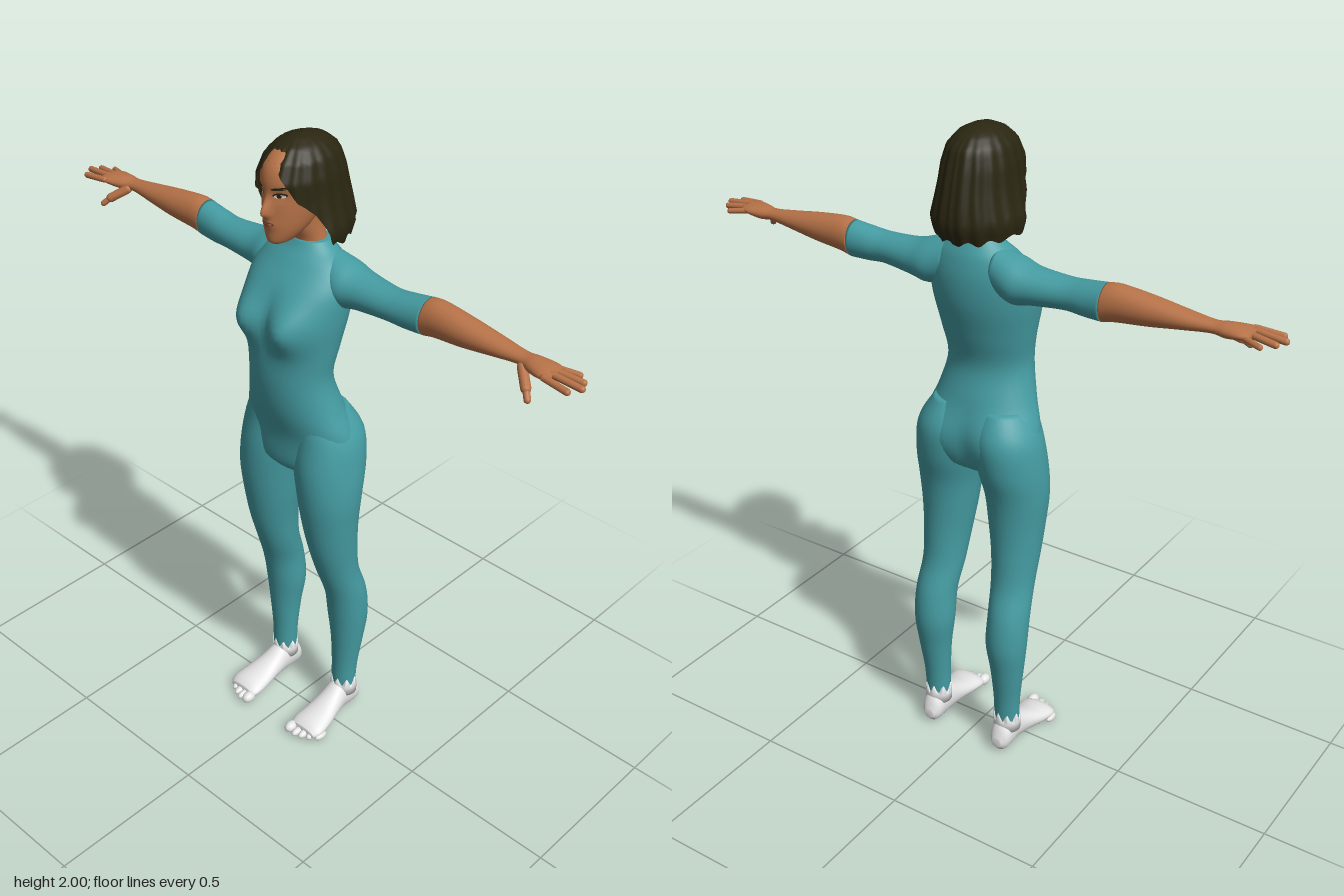
import * as THREE from 'three';

const paint = (name, color) => Object.assign(new THREE.MeshStandardMaterial({ color }), { name });

// Cubic blend through a list of rows; u runs from 0 to rows.length - 1
function blend(rows, u) {
  const i = Math.min(Math.floor(u), rows.length - 2), f = u - i;
  const at = k => rows[Math.max(0, Math.min(rows.length - 1, k))];
  return rows[0].map((_, c) => {
    const [p, q, r, s] = [at(i - 1)[c], at(i)[c], at(i + 1)[c], at(i + 2)[c]];
    return q + 0.5 * f * (r - p + f * (2 * p - 5 * q + 4 * r - s + f * (3 * (q - r) + s - p)));
  });
}

// Closed body through oval sections. Rows are [t, aMin, aMax, bMin, bMax], t rising;
// (t, a, b) is (x, y, z), (y, z, x) or (z, x, y)
function loft(rows, axis, { seg = 32, steps = 5, rule } = {}) {
  const pos = [], index = [], n = (rows.length - 1) * steps;
  const put = (t, a, b) => {
    const v = axis === 'x' ? new THREE.Vector3(t, a, b)
      : axis === 'y' ? new THREE.Vector3(b, t, a) : new THREE.Vector3(a, b, t);
    if (rule) rule(v);
    pos.push(v.x, v.y, v.z);
  };
  for (let i = 0; i <= n; i++) {
    const [t, a0, a1, b0, b1] = blend(rows, i / steps);
    for (let j = 0; j < seg; j++) {
      const p = j / seg * Math.PI * 2;
      put(t, (a0 + a1) / 2 + (a1 - a0) / 2 * Math.cos(p), (b0 + b1) / 2 + (b1 - b0) / 2 * Math.sin(p));
    }
  }
  for (const r of [rows[0], rows[rows.length - 1]]) put(r[0], (r[1] + r[2]) / 2, (r[3] + r[4]) / 2);
  const low = (n + 1) * seg, top = n * seg;
  for (let j = 0; j < seg; j++) {
    const k = (j + 1) % seg;
    for (let i = 0; i < n; i++) {
      const a = i * seg, b = a + seg;
      index.push(a + j, a + k, b + k, a + j, b + k, b + j);
    }
    index.push(low, k, j, low + 1, top + j, top + k);
  }
  return geometry(pos, index);
}

function geometry(pos, index) {
  const g = new THREE.BufferGeometry();
  g.setAttribute('position', new THREE.Float32BufferAttribute(pos, 3));
  g.setIndex(index);
  g.computeVertexNormals();
  return g;
}

function mirror(g) {
  const m = g.clone().scale(-1, 1, 1), ix = m.index.array;
  for (let i = 0; i < ix.length; i += 3) [ix[i], ix[i + 1]] = [ix[i + 1], ix[i]];
  m.computeVertexNormals();
  return m;
}

// Rounded rod from a to b
function rod(a, b, r) {
  const p = new THREE.Vector3(...a), q = new THREE.Vector3(...b), d = q.clone().sub(p);
  const turn = new THREE.Quaternion().setFromUnitVectors(new THREE.Vector3(0, 1, 0), d.clone().normalize());
  const mid = p.add(q).multiplyScalar(0.5);
  return new THREE.CapsuleGeometry(r, d.length(), 5, 10).applyQuaternion(turn).translate(mid.x, mid.y, mid.z);
}

const ball = (x, y, z, rx, ry, rz) => new THREE.SphereGeometry(1, 16, 12).scale(rx, ry, rz).translate(x, y, z);
const bump = (d, w) => Math.exp(-d * d / (2 * w * w));

export function createModel() {
  const model = new THREE.Group();
  model.name = 'figure';
  const suit = paint('teal suit', 0x459da3), skin = paint('skin', 0xb87348), hairMat = paint('dark hair', 0x2a2611);
  const sock = paint('white feet', 0xe6e6e6), lip = paint('lips', 0x91503c);
  const eyeWhite = paint('eye white', 0xd8cfc6), iris = paint('iris', 0x2b1a10);
  hairMat.side = THREE.DoubleSide;
  const add = (name, g, mat) => {
    const m = new THREE.Mesh(g, mat);
    m.name = name;
    model.add(m);
    return m;
  };
  const pair = (name, g, mat) => {
    add('left ' + name, g, mat);
    add('right ' + name, mirror(g), mat);
  };

  // Torso, with bust and seat swelled out of the lofted trunk
  const trunk = [
    [0.965, -0.07, 0.05, 0.06], [1.0, -0.11, 0.083, 0.165], [1.1, -0.122, 0.09, 0.19],
    [1.2, -0.1, 0.117, 0.156], [1.3, -0.076, 0.13, 0.134], [1.4, -0.1, 0.128, 0.145],
    [1.5, -0.125, 0.118, 0.16], [1.58, -0.13, 0.095, 0.163], [1.64, -0.12, 0.05, 0.135],
    [1.675, -0.105, 0.02, 0.092], [1.698, -0.092, 0.006, 0.066],
  ].map(([y, back, front, w]) => [y, back, front, -w, w]);
  add('torso', loft(trunk, 'y', {
    seg: 64, rule: v => {
      const side = Math.abs(v.x);
      if (v.z > 0) v.z += 0.055 * bump(side - 0.08, 0.045) * bump(v.y - 1.485, 0.05) * Math.min(1, v.z / 0.05);
      else v.z -= 0.025 * bump(side - 0.09, 0.045) * bump(v.y - 1.07, 0.06) * Math.min(1, -v.z / 0.05);
    },
  }), suit);

  // Legs
  pair('leg', loft([
    [0.08, -0.115, -0.04, 0.095, 0.172], [0.13, -0.115, -0.04, 0.092, 0.174], [0.2, -0.12, -0.04, 0.09, 0.178],
    [0.3, -0.135, -0.035, 0.083, 0.19], [0.4, -0.15, -0.025, 0.07, 0.2], [0.5, -0.14, -0.008, 0.07, 0.2],
    [0.6, -0.109, 0.025, 0.06, 0.195], [0.7, -0.1, 0.055, 0.05, 0.2], [0.8, -0.1, 0.075, 0.035, 0.208],
    [0.9, -0.11, 0.088, 0.022, 0.216], [1.0, -0.135, 0.09, 0.005, 0.212], [1.1, -0.14, 0.08, 0, 0.195],
    [1.18, -0.1, 0.08, 0.02, 0.15],
  ], 'y'), suit);

  // Feet, toes and the jagged ankle edge
  pair('foot', loft([
    [-0.138, 0.115, 0.148, 0.02, 0.05], [-0.12, 0.1, 0.165, 0.002, 0.09], [-0.09, 0.095, 0.17, 0, 0.115],
    [-0.05, 0.093, 0.17, 0.003, 0.115], [0, 0.09, 0.18, 0.005, 0.086], [0.05, 0.085, 0.192, 0.002, 0.064],
    [0.1, 0.082, 0.198, 0, 0.05], [0.125, 0.09, 0.185, 0.006, 0.035],
  ], 'z'), sock);
  for (let i = 0; i < 5; i++) {
    const r = i ? 0.0125 : 0.018;
    pair('toe ' + (i + 1), ball(0.098 + i * 0.0225 + (i ? 0.004 : 0), r, 0.135 - 0.0025 * i * i, r, r, 0.024), sock);
  }
  pair('ankle edge', loft([[0.07, -0.119, -0.036, 0.09, 0.177], [0.1, -0.118, -0.037, 0.089, 0.177],
    [0.122, -0.117, -0.038, 0.09, 0.176]], 'y', {
    steps: 1, rule: v => {
      if (v.y > 0.11) v.y += 0.016 * Math.sin(8 * Math.atan2(v.x - 0.133, v.z + 0.078));
    },
  }), sock);

  // Sleeves, forearms and hands
  pair('sleeve', loft([
    [0.08, 1.55, 1.675, -0.11, 0], [0.14, 1.525, 1.66, -0.124, 0.02], [0.2, 1.535, 1.643, -0.115, 0.008],
    [0.3, 1.544, 1.636, -0.1, 0], [0.36, 1.541, 1.642, -0.102, -0.005], [0.42, 1.541, 1.651, -0.105, -0.012],
  ], 'x'), suit);
  pair('forearm', loft([
    [0.42, 1.541, 1.651, -0.105, -0.012], [0.46, 1.55, 1.655, -0.103, -0.012], [0.55, 1.56, 1.645, -0.098, -0.012],
    [0.65, 1.575, 1.63, -0.088, -0.02], [0.73, 1.585, 1.62, -0.077, -0.028], [0.77, 1.581, 1.622, -0.082, -0.015],
    [0.81, 1.587, 1.62, -0.085, -0.002], [0.84, 1.595, 1.615, -0.078, 0],
  ], 'x'), skin);
  const fingers = [
    [[0.825, 1.605, -0.007], [0.9, 1.599, -0.001]], [[0.835, 1.608, -0.03], [0.92, 1.601, -0.034]],
    [[0.83, 1.606, -0.053], [0.905, 1.599, -0.063]], [[0.82, 1.602, -0.073], [0.875, 1.596, -0.091]],
  ];
  fingers.forEach(([a, b], i) => pair('finger ' + (i + 1), rod(a, b, i === 3 ? 0.0085 : 0.0095), skin));
  pair('thumb base', rod([0.745, 1.592, -0.03], [0.785, 1.562, 0.005], 0.014), skin);
  pair('thumb tip', rod([0.785, 1.562, 0.005], [0.803, 1.543, 0.02], 0.0095), skin);

  // Neck, head and ears
  add('neck', loft([[1.66, -0.1, 0.0, -0.065, 0.065], [1.7, -0.088, 0.004, -0.055, 0.055],
    [1.74, -0.082, 0.02, -0.05, 0.05], [1.79, -0.08, 0.03, -0.05, 0.05]], 'y'), skin);
  const skull = [
    [1.718, 0.055, 0.098, 0.018], [1.728, 0.01, 0.108, 0.034], [1.76, -0.04, 0.112, 0.054],
    [1.8, -0.08, 0.114, 0.066], [1.85, -0.1, 0.114, 0.073], [1.9, -0.1, 0.117, 0.075],
    [1.94, -0.09, 0.105, 0.067], [1.97, -0.06, 0.075, 0.045], [1.98, -0.03, 0.045, 0.02],
  ].map(([y, back, front, w]) => [y, back, front, -w, w]);
  const head = add('head', loft(skull, 'y', {
    seg: 96, steps: 8, rule: v => {
      if (v.z < 0.04) return;
      const x = Math.abs(v.x), below = v.y < 1.815;
      v.z += 0.026 * bump(x, 0.009) * bump(v.y - 1.815, below ? 0.01 : 0.025);
      v.z += 0.006 * bump(x, 0.016) * bump(v.y - 1.782, 0.011);
      v.z -= 0.006 * bump(x - 0.032, 0.015) * bump(v.y - 1.865, 0.012);
    },
  }), skin);
  pair('ear', ball(0.088, 1.838, 0.0, 0.014, 0.03, 0.017), skin);

  // Thin oval plates laid over the face
  const ray = new THREE.Raycaster();
  head.updateMatrixWorld();
  const plate = (x, y, rx, ry, tilt, lift) => {
    const g = new THREE.CircleGeometry(1, 24).scale(rx, ry, 1).rotateZ(tilt).translate(x, y, 0);
    const p = g.attributes.position;
    for (let i = 0; i < p.count; i++) {
      ray.set(new THREE.Vector3(p.getX(i), p.getY(i), 1), new THREE.Vector3(0, 0, -1));
      const hit = ray.intersectObject(head)[0];
      p.setZ(i, (hit ? hit.point.z : 0.1) + lift);
    }
    g.computeVertexNormals();
    return g;
  };
  pair('lash line', plate(0.033, 1.867, 0.0165, 0.0075, 0.08, 0.0015), hairMat);
  pair('eye', plate(0.033, 1.8645, 0.014, 0.0052, 0.08, 0.0025), eyeWhite);
  pair('iris', plate(0.032, 1.865, 0.0055, 0.0055, 0, 0.0035), iris);
  pair('brow', plate(0.035, 1.887, 0.021, 0.0042, 0.15, 0.002), hairMat);
  add('mouth', plate(0, 1.782, 0.022, 0.0075, 0, 0.0015), lip);

  // Bob of hair: strands run from the crown to an edge that frames the face
  const shape = [
    [2.0, 0, 0, 0], [1.996, 0.04, 0.028, 0.035], [1.98, 0.078, 0.06, 0.08], [1.95, 0.115, 0.086, 0.115],
    [1.9, 0.142, 0.1, 0.132], [1.85, 0.14, 0.106, 0.145], [1.8, 0.135, 0.117, 0.156], [1.75, 0.13, 0.131, 0.163],
    [1.69, 0.11, 0.118, 0.14],
  ];
  const edge = [[0, 1.935], [20, 1.925], [30, 1.905], [47, 1.85], [65, 1.815], [76, 1.77], [84, 1.715], [180, 1.7]];
  const lookup = (table, k) => {
    let i = 0;
    while (i < table.length - 2 && (table[i + 1][0] - k) * (table[1][0] - table[0][0]) < 0) i++;
    const f = (k - table[i][0]) / (table[i + 1][0] - table[i][0]);
    return table[i].map((c, j) => c + (table[i + 1][j] - c) * f);
  };
  const pos = [], index = [], around = 160, down = 22;
  for (let i = 0; i <= down; i++) for (let j = 0; j < around; j++) {
    const a = j / around * Math.PI * 2 - Math.PI, deg = Math.abs(a) * 180 / Math.PI, v = i / down;
    const end = lookup(edge, deg)[1] + (deg > 80 ? 0.007 * Math.sin(13 * a) : 0);
    const y = 2 + (end - 2) * Math.pow(v, 1.6);
    const [, front, width, back] = lookup(shape, y);
    const ridge = 1 + 0.02 * Math.min(1, v * 2) * Math.sin(18 * Math.abs(a)) - 0.05 * bump(a, 0.08) * v;
    pos.push(width * Math.sin(a) * ridge, y, -0.018 + (Math.cos(a) > 0 ? front : back) * Math.cos(a) * ridge);
    if (i < down) {
      const k = (j + 1) % around, top = i * around, low = top + around;
      index.push(low + j, low + k, top + k, low + j, top + k, top + j);
    }
  }
  add('hair', geometry(pos, index), hairMat);

  return model;
}
